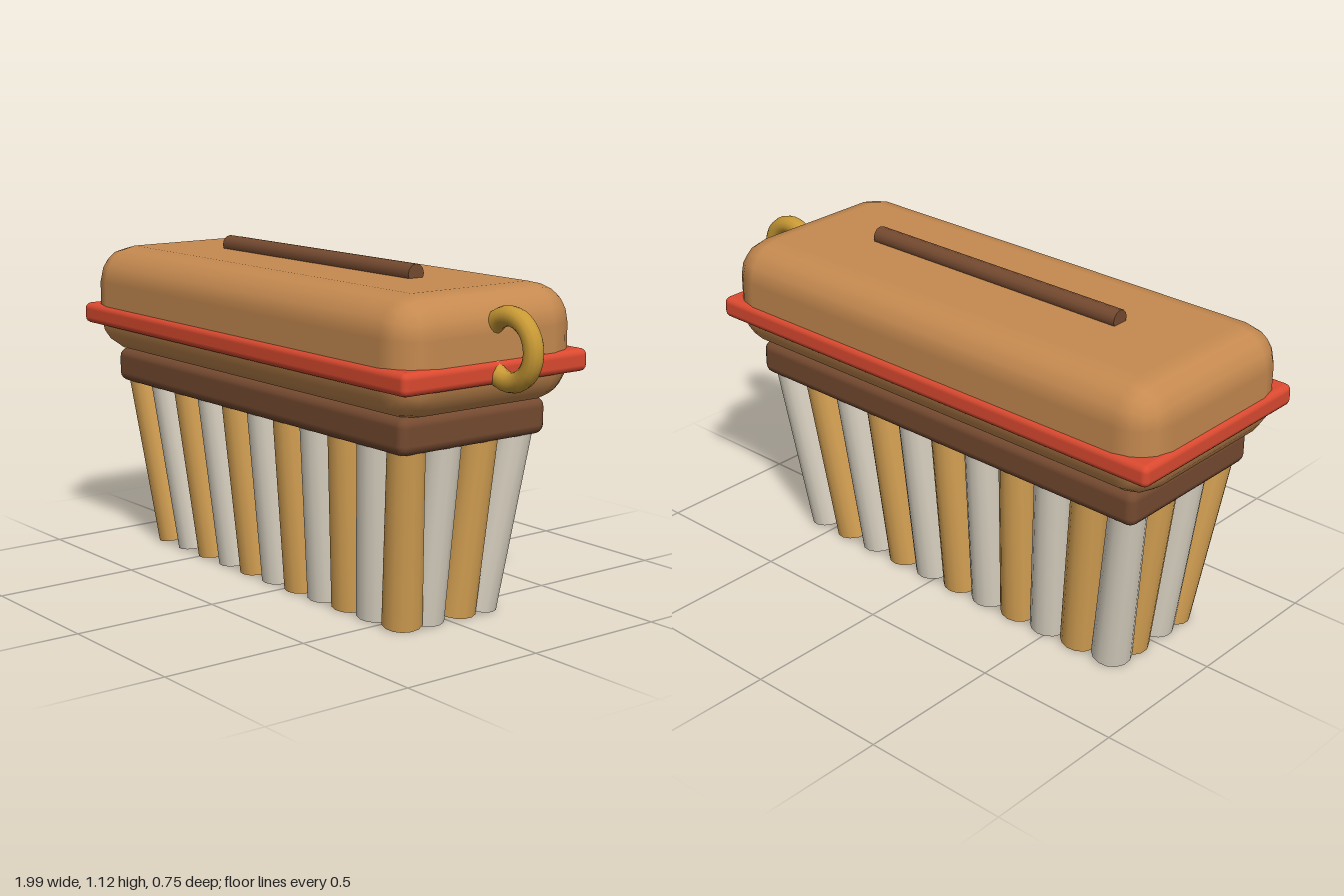
import * as THREE from 'three';
import { RoundedBoxGeometry } from 'three/addons/geometries/RoundedBoxGeometry.js';

const mat = (name, color) => {
  const m = new THREE.MeshStandardMaterial({ color });
  m.name = name;
  return m;
};

export function createModel() {
  const wood = mat('wood', 0xc68a50);
  const darkWood = mat('dark wood', 0x754a30);
  const red = mat('red band', 0xdc4a30);
  const brass = mat('brass', 0xc99a35);
  const goldBristle = mat('gold bristle', 0xd9a455);
  const paleBristle = mat('pale bristle', 0xdcd4c4);

  const group = new THREE.Group();
  group.name = 'scrubBrush';
  const cx = -0.09; // the block sits off centre because of the ring

  const add = (name, geometry, material, x, y, z, parent = group) => {
    const mesh = new THREE.Mesh(geometry, material);
    mesh.name = name;
    mesh.position.set(x, y, z);
    parent.add(mesh);
    return mesh;
  };

  // Block, band and bristle base
  add('body', new RoundedBoxGeometry(1.796, 0.376, 0.72, 2, 0.126), wood, cx, 0.887, 0);
  add('band', new RoundedBoxGeometry(1.82, 0.073, 0.745, 2, 0.022), red, cx, 0.831, 0);
  add('bristleBase', new RoundedBoxGeometry(1.62, 0.12, 0.592, 2, 0.032), darkWood, cx, 0.648, 0);

  // Raised rib along the top
  add('topRib', new THREE.CylinderGeometry(0.032, 0.032, 1.025, 12), darkWood, -0.088, 1.088, 0)
    .rotation.z = Math.PI / 2;

  // Hanging ring
  add('hangingRing', new THREE.TorusGeometry(0.1, 0.032, 12, 32), brass, 0.862, 0.908, 0);

  // Bristle tufts, leaning inward towards the floor, in alternating colours
  const bristles = new THREE.Group();
  bristles.name = 'bristles';
  group.add(bristles);
  const up = new THREE.Vector3(0, 1, 0);
  const topZ = [0.222, 0.075, -0.075, -0.222];
  const bottomZ = [0.155, 0.066, -0.066, -0.155];
  for (let i = 0; i < 11; i++) {
    for (let j = 0; j < 4; j++) {
      const top = new THREE.Vector3(cx + (i - 5) * 0.148, 0.62, topZ[j]);
      const bottom = new THREE.Vector3(cx + (i - 5) * 0.129, 0, bottomZ[j]);
      const axis = top.clone().sub(bottom).normalize();
      // Lift so the lowest rim point touches the floor
      bottom.y = 0.066 * Math.sqrt(1 - axis.y * axis.y);
      const length = top.distanceTo(bottom);
      const mid = top.clone().add(bottom).multiplyScalar(0.5);
      add('bristleTuft', new THREE.CylinderGeometry(0.06, 0.066, length, 14),
        (i + j) % 2 ? paleBristle : goldBristle, mid.x, mid.y, mid.z, bristles)
        .quaternion.setFromUnitVectors(up, axis);
    }
  }
  return group;
}
